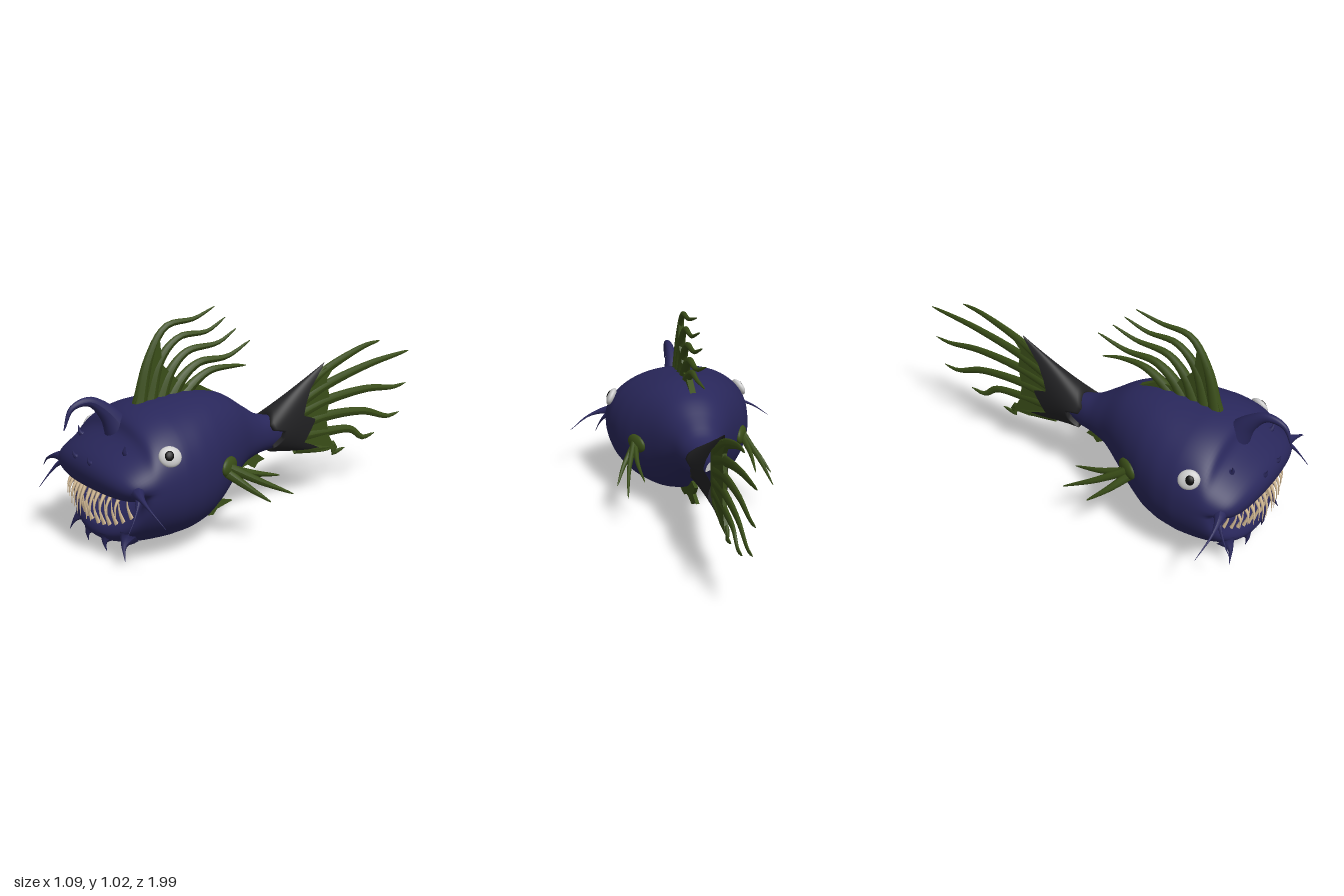
import * as THREE from 'three';

const V = (x, y, z) => new THREE.Vector3(x, y, z);
const mat = (color, side = THREE.FrontSide) => new THREE.MeshStandardMaterial({ color, side, roughness: 0.8 });
const blue = mat(0x29275b), green = mat(0x3a4e18, THREE.DoubleSide), black = mat(0x222224, THREE.DoubleSide);
const ivory = mat(0xdcc29c), white = mat(0xcccccc), dark = mat(0x0a0a0a);
const N = 96; // points per loft ring

function add(parent, name, geometry, material) {
  const mesh = new THREE.Mesh(geometry, material);
  mesh.name = name;
  parent.add(mesh);
  return mesh;
}

// Skin over closed rings, all with the same number of points
function loft(rings) {
  const pos = [], idx = [], n = rings[0].length;
  rings.forEach(r => r.forEach(p => pos.push(p.x, p.y, p.z)));
  for (let i = 0; i < rings.length - 1; i++) for (let j = 0; j < n; j++) {
    const a = i * n + j, b = i * n + (j + 1) % n;
    idx.push(a, b, a + n, b, b + n, a + n);
  }
  const g = new THREE.BufferGeometry();
  g.setAttribute('position', new THREE.Float32BufferAttribute(pos, 3));
  g.setIndex(idx);
  g.computeVertexNormals();
  return g;
}

// Tube along points, radius given by a function of t, optionally flattened in x
function taper(points, radius, flat = 1, n = 20, sides = 8) {
  const curve = new THREE.CatmullRomCurve3(points);
  const g = new THREE.TubeGeometry(curve, n, 1, sides), p = g.attributes.position;
  for (let i = 0; i < p.count; i++) {
    const t = Math.floor(i / (sides + 1)) / n, c = curve.getPointAt(t), r = radius(t);
    const v = V().fromBufferAttribute(p, i).sub(c).multiplyScalar(r);
    p.setXYZ(i, c.x + v.x * flat, c.y + v.y, c.z + v.z);
  }
  g.computeVertexNormals();
  return g;
}
const spikeRadius = r => t => r * Math.pow(1 - t, 1.2) + 0.0012;
const flareRadius = (r, tip) => t => r * Math.pow(1 - t, 4) + tip * (1 - t) + 0.001;
const rayRadius = (r, e) => t => r * Math.pow(1 - t, e) + 0.002;

// Thin plate in the x = 0 plane from [z, y] corners
function plate(corners, thick) {
  const shape = new THREE.Shape(corners.map(([z, y]) => new THREE.Vector2(-z, y)));
  const g = new THREE.ExtrudeGeometry(shape, { depth: thick, bevelEnabled: false });
  return g.translate(0, 0, -thick / 2).rotateY(Math.PI / 2);
}

function ring(fn) {
  return Array.from({ length: N }, (_, j) => {
    const a = j / N * Math.PI * 2;
    return fn(Math.cos(a), Math.sin(a));
  });
}

// Lip outline of the open mouth
function lip(c, s) {
  const u = Math.max(0, s), l = Math.max(0, -s);
  return V(0.285 * c, 0.3 + 0.01 * u - 0.16 * l, 0.78 + 0.12 * Math.sqrt(u) + 0.09 * l * l);
}

function bodyGeometry() {
  // top, bottom and half width at every 0.1 of z from -0.2 to 0.6
  const sections = new THREE.CatmullRomCurve3([
    V(0.46, 0.33, 0.035), V(0.47, 0.31, 0.06), V(0.495, 0.3, 0.09), V(0.56, 0.27, 0.13), V(0.625, 0.2, 0.19),
    V(0.655, 0.12, 0.25), V(0.665, 0.065, 0.305), V(0.66, 0.045, 0.345), V(0.65, 0.042, 0.368)]);
  const pw = v => Math.sign(v) * Math.pow(Math.abs(v), 0.92);
  const at = (t, c, s) => {
    const k = sections.getPoint(t);
    return V(k.z * pw(c), (k.x + k.y) / 2 + (k.x - k.y) / 2 * pw(s), -0.2 + 0.8 * t);
  };
  const rings = [];
  for (let i = 0; i <= 32; i++) rings.push(ring((c, s) => at(i / 32, c, s)));
  // head curving forward and in to the lips, with a dip between brow and snout
  for (let i = 1; i <= 28; i++) rings.push(ring((c, s) => {
    const t = i / 28, u = Math.max(0, s), l = Math.max(0, -s), a = at(1, c, s), d = lip(c, s);
    const b = a.clone().add(V(0.01 * c, -0.015 * u, 0.17));
    const e = d.clone().add(V(0.08 * c, 0.05 + 0.09 * u - 0.14 * l, 0.03 + 0.08 * Math.sqrt(u) + 0.02 * l));
    const p = new THREE.CubicBezierCurve3(a, b, e, d).getPoint(t);
    p.z -= 0.07 * u * Math.exp(-Math.pow((t - 0.48) / 0.16, 2));
    return p;
  }));
  // mouth cavity
  for (const k of [0.04, 0.1, 0.2, 0.4, 0.7, 0.98])
    rings.push(ring((c, s) => lip(c, s).lerp(V(0, 0.25, 0.6), k)));
  return loft(rings);
}

// Dark sleeve of the tail, with jagged edges at both ends
function tailSleeveGeometry() {
  const pick = (table, v) => {
    const f = (v + 1) / 2 * (table.length - 1), i = Math.min(Math.floor(f), table.length - 2);
    return THREE.MathUtils.lerp(table[i], table[i + 1], f - i);
  };
  const rear = [-0.44, -0.28, -0.31, -0.35, -0.26, -0.28, -0.32, -0.43];
  const front = [-0.09, -0.06, -0.11, -0.12, -0.05, -0.04, -0.07];
  const rings = [];
  for (let i = 0; i <= 12; i++) rings.push(ring((c, s) => {
    const z = THREE.MathUtils.lerp(pick(rear, s), pick(front, s), i / 12);
    const f = (-0.04 - z) / 0.4, top = 0.475 + 0.215 * f, bottom = 0.3 - 0.065 * f;
    return V(c * (0.105 - 0.085 * f), (top + bottom) / 2 + s * (top - bottom) / 2, z);
  }));
  rings.push(rings[12].map(p => V(p.x * 0.5, 0.39 + (p.y - 0.39) * 0.7, p.z - 0.02)));
  return loft(rings);
}

export function createModel() {
  const model = new THREE.Group();
  model.name = 'anglerfish';
  add(model, 'body', bodyGeometry(), blue);
  add(model, 'tailSleeve', tailSleeveGeometry(), black);

  // Lure curling over the face
  add(model, 'lure', taper([V(0, 0.52, 0.72), V(0, 0.62, 0.785), V(0, 0.683, 0.87), V(0, 0.665, 0.955), V(0, 0.575, 0.996)],
    t => 0.05 * Math.pow(1 - t, 3) + 0.026 * Math.pow(1 - t, 0.7) + 0.002, 0.9, 32, 14), blue);

  // Tail fin
  const tail = new THREE.Group();
  tail.name = 'tailFin';
  model.add(tail);
  add(tail, 'tailWeb', plate([[-0.2, 0.52], [-0.43, 0.66], [-0.48, 0.65], [-0.44, 0.6], [-0.46, 0.5],
    [-0.44, 0.4], [-0.46, 0.31], [-0.5, 0.235], [-0.4, 0.235], [-0.2, 0.29]], 0.02), green);
  [[-0.79, 0.75], [-0.995, 0.675], [-0.98, 0.505], [-0.94, 0.355], [-0.77, 0.27], [-0.57, 0.225]].forEach(([z, y], i) => {
    const y0 = 0.54 - i * 0.052, y1 = 0.65 - i * 0.08, zm = (z - 0.45) / 2;
    add(tail, 'tailRay', taper([V(0, y0, -0.25), V(0, y1, -0.45), V(0, (y1 + y) / 2 + 0.015, zm), V(0, y - 0.01, z + 0.08), V(0, y, z)],
      rayRadius(0.029, 0.5), 0.5), green);
  });

  // Dorsal fin
  const dorsal = new THREE.Group();
  dorsal.name = 'dorsalFin';
  model.add(dorsal);
  add(dorsal, 'dorsalWeb', plate([[0.66, 0.62], [0.58, 0.84], [0.52, 0.92], [0.51, 0.8], [0.45, 0.74],
    [0.4, 0.69], [0.33, 0.69], [0.22, 0.63], [0.4, 0.6]], 0.03), green);
  [[[0.63, 0.6], [0.57, 0.83], [0.48, 0.965], [0.33, 0.985], [0.21, 1.025]],
   [[0.58, 0.6], [0.51, 0.82], [0.41, 0.91], [0.26, 0.92], [0.15, 0.97]],
   [[0.53, 0.6], [0.46, 0.76], [0.37, 0.84], [0.2, 0.86], [0.09, 0.91]],
   [[0.48, 0.6], [0.41, 0.71], [0.31, 0.78], [0.15, 0.79], [0.01, 0.845]],
   [[0.43, 0.6], [0.35, 0.68], [0.25, 0.735], [0.12, 0.74], [0.035, 0.73]]].forEach(ray => {
    const pts = ray.map(([z, y], k) => V(k === 4 ? -0.015 : 0, y, z));
    add(dorsal, 'dorsalRay', taper(pts, t => 0.014 * Math.pow(1 - t, 3) + 0.022 * Math.pow(1 - t, 0.6) + 0.002, 0.85), green);
  });

  // Fins along the belly
  add(model, 'bellyFin', plate([[0.6, 0.06], [0.58, 0.025], [0.54, 0.01], [0.48, 0.003], [0.42, 0.012], [0.4, 0.035], [0.32, 0.045],
    [0.24, 0.04], [0.22, 0.065], [0.13, 0.09], [0.21, 0.11], [0.16, 0.165], [0.24, 0.17], [0.22, 0.22], [0.35, 0.2]], 0.018), green);
  add(model, 'analFin', plate([[0.2, 0.24], [0.13, 0.27], [0.08, 0.24], [0.04, 0.25], [0, 0.225], [-0.02, 0.25],
    [-0.06, 0.26], [-0.02, 0.29], [0, 0.33], [0.12, 0.32]], 0.02), green);

  for (const [m, side] of [[1, 'left'], [-1, 'right']]) {
    const half = new THREE.Group();
    half.name = side + 'Side';
    model.add(half);
    const P = (x, y, z) => V(m * x, y, z);
    const spike = (name, pts, r, tip = 0) =>
      add(half, name, taper(pts, tip ? flareRadius(r, tip) : spikeRadius(r), 1, 16), blue);

    // Eye
    const eye = new THREE.Group();
    eye.name = side + 'Eye';
    eye.position.copy(P(0.34, 0.487, 0.682));
    eye.quaternion.setFromUnitVectors(V(0, 0, 1), P(0.84, 0.38, 0.3).normalize());
    half.add(eye);
    const ball = new THREE.SphereGeometry(1, 24, 16);
    add(eye, 'eyeball', ball, white).scale.set(0.05, 0.045, 0.021);
    const pupil = add(eye, 'pupil', ball, dark);
    pupil.scale.set(0.02, 0.022, 0.009);
    pupil.position.set(-m * 0.006, 0, 0.017);

    // Pectoral fin
    const base = add(half, 'pectoralBase', ball, green);
    base.scale.set(0.022, 0.045, 0.065);
    base.position.copy(P(0.268, 0.36, 0.33));
    base.rotation.y = m * 0.5;
    [[0.36, 0.2, 0.04], [0.275, 0.27, 0.055], [0.39, 0.2, 0.19]].forEach(([x, y, z], i) => {
      const root = P(0.272, 0.372 - i * 0.012, 0.36), tip = P(x, y, z);
      const mid = root.clone().lerp(tip, 0.5).add(P(0.012, -0.005, 0));
      add(half, 'pectoralRay', taper([root, mid, tip], rayRadius(0.022, 0.7), 0.7), green);
    });

    // Whiskers, chin spikes and snout thorns
    spike('longWhisker', [P(0.3, 0.35, 0.82), P(0.36, 0.35, 0.845), P(0.45, 0.32, 0.855), P(0.545, 0.257, 0.835)], 0.035, 0.009);
    spike('shortWhisker', [P(0.31, 0.34, 0.82), P(0.355, 0.315, 0.85), P(0.385, 0.26, 0.89), P(0.4, 0.205, 0.93)], 0.02, 0.007);
    spike('outerChinSpike', [P(0.2, 0.115, 0.815), P(0.218, 0.085, 0.845), P(0.25, 0.03, 0.86)], 0.035, 0.012);
    spike('innerChinSpike', [P(0.072, 0.09, 0.845), P(0.076, 0.065, 0.86), P(0.082, 0.025, 0.855)], 0.033, 0.012);
    spike('upperThorn', [P(0.185, 0.465, 0.77), P(0.193, 0.49, 0.815), P(0.205, 0.525, 0.82)], 0.028);
    spike('lowerThorn', [P(0.06, 0.415, 0.88), P(0.064, 0.435, 0.915), P(0.066, 0.462, 0.925)], 0.024);

    // Teeth
    [0.024, 0.056, 0.088, 0.125, 0.165, 0.21].forEach((x, i) => {
      const z = 0.895 - x * x * 0.9, len = 0.15 - i * 0.012 + (i % 2) * 0.012;
      add(half, 'upperTooth', taper([P(x, 0.32, z - 0.01), P(x, 0.32 - len * 0.5, z + 0.022), P(x + 0.004, 0.32 - len, z + 0.025)],
        spikeRadius(0.01), 1, 8, 6), ivory);
    });
    [0.03, 0.072, 0.108, 0.147, 0.185, 0.225].forEach((x, i) => {
      const l = Math.sqrt(1 - (x / 0.285) ** 2), root = lip(x / 0.285, -l), len = 0.13 - i * 0.004;
      add(half, 'lowerTooth', taper([P(x, root.y - 0.005, root.z - 0.01), P(x, root.y + len * 0.5, root.z + 0.012), P(x, root.y + len, root.z + 0.015)],
        spikeRadius(0.009), 1, 8, 6), ivory);
    });
  }
  return model;
}
